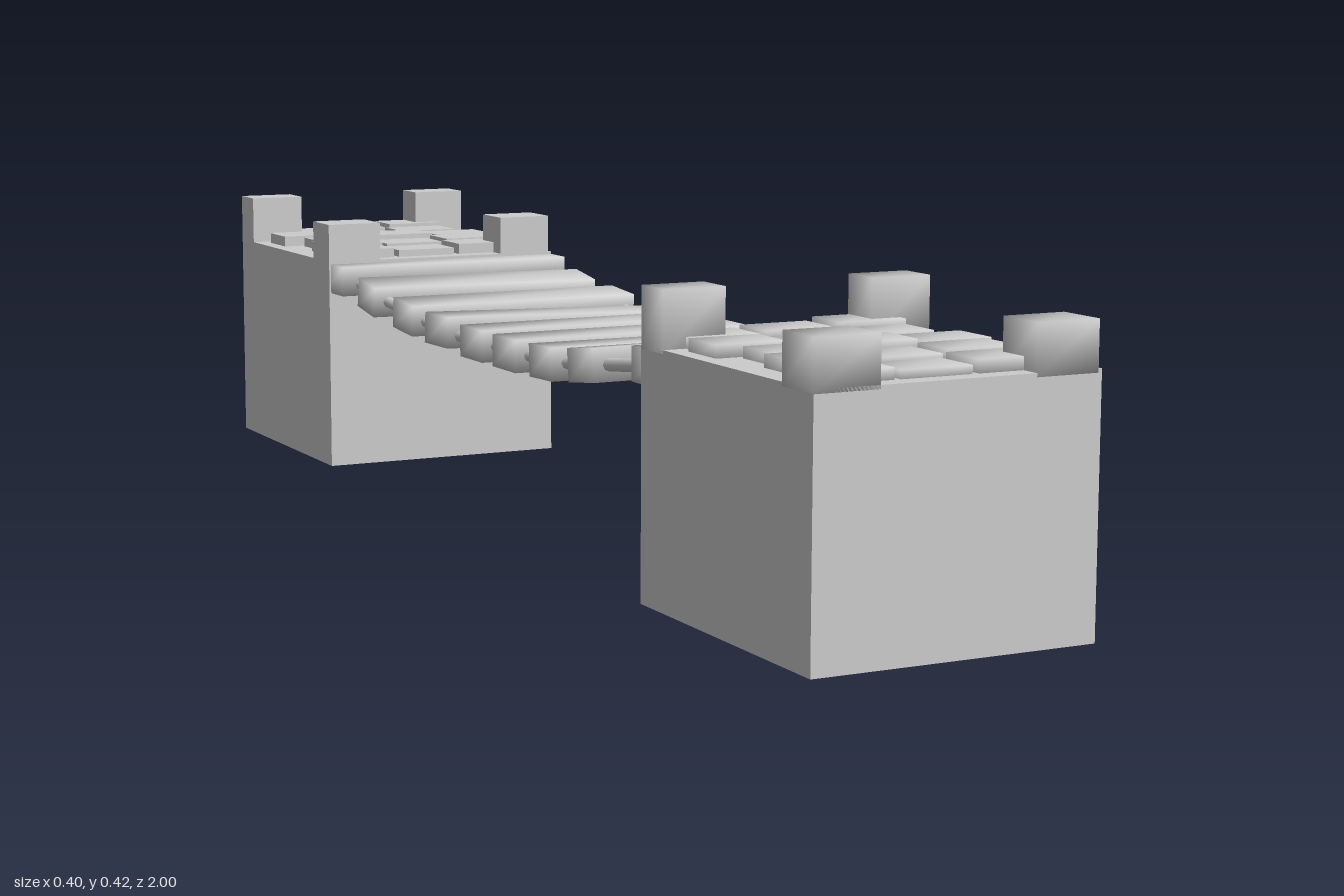
import * as THREE from 'three';
import { mergeVertices } from 'three/addons/utils/BufferGeometryUtils.js';

const material = new THREE.MeshStandardMaterial({ color: 0xcccccc });

// Box with shared corners, so its shading is soft and rounded
function softBox(w, h, d) {
  const g = new THREE.BoxGeometry(w, h, d);
  g.deleteAttribute('uv');
  g.deleteAttribute('normal');
  const merged = mergeVertices(g);
  merged.computeVertexNormals();
  return merged;
}

// Box given by its limits on each axis
function block(name, [x0, x1], [y0, y1], [z0, z1], soft) {
  const size = [x1 - x0, y1 - y0, z1 - z0];
  const mesh = new THREE.Mesh(soft ? softBox(...size) : new THREE.BoxGeometry(...size), material);
  mesh.position.set((x0 + x1) / 2, (y0 + y1) / 2, (z0 + z1) / 2);
  mesh.name = name;
  return mesh;
}

// Stone abutment: base, corner posts and staggered paving; z is measured from its rear edge
function createTower(name, z, soft) {
  const tower = new THREE.Group();
  tower.name = name;
  tower.position.z = z;
  tower.add(block('base', [-0.203, 0.199], [0, 0.34], [0, 0.435], false));

  for (const [x0, x1] of [[-0.203, -0.113], [0.105, 0.194]]) {
    tower.add(block('rearPost', [x0, x1], [0.335, 0.417], [0, 0.06], soft));
    tower.add(block('frontPost', [x0, x1], [0.335, 0.401], [0.362, 0.435], soft));
  }

  // Paving rows: left edge of the row, then the top height of its three stones
  const rows = [
    [-0.17, 0.355, 0.358, 0.363],
    [-0.18, 0.357, 0.353, 0.358],
    [-0.148, 0.355, 0.361, 0.357],
    [-0.165, 0.357, 0.354, 0.358],
    [-0.177, 0.355, 0.351, 0.357],
  ];
  rows.forEach(([x, ...tops], r) => {
    const z0 = 0.003 + r * 0.083;
    tops.forEach((top, i) => {
      const x0 = x + i * 0.109;
      tower.add(block('pavingStone', [x0, x0 + 0.1], [0.332, top], [z0, z0 + 0.072], soft));
    });
  });
  return tower;
}

export function createModel() {
  const model = new THREE.Group();
  model.name = 'ropeBridge';
  model.add(createTower('frontTower', 0.566, true));
  model.add(createTower('rearTower', -1, false));

  // Planks: z, y, pitch, yaw, roll
  const planks = [
    [0.572, 0.311, 0, 0, 0],
    [0.36, 0.286, -0.12, 0.01, 0],
    [0.238, 0.274, -0.04, -0.035, 0],
    [0.108, 0.271, 0, 0, 0],
    [-0.01, 0.271, 0, 0, 0],
    [-0.15, 0.27, 0, 0.04, -0.03],
    [-0.276, 0.281, 0.08, 0, 0],
    [-0.423, 0.294, 0.12, -0.045, 0],
    [-0.552, 0.312, 0, 0, 0],
  ];
  planks.forEach(([z, y, pitch, yaw, roll], i) => {
    const end = i === 0 || i === planks.length - 1;
    const plank = new THREE.Mesh(softBox(end ? 0.4 : 0.382, 0.047, 0.08), material);
    plank.position.set(0, y, z);
    plank.rotation.set(pitch, yaw, roll);
    plank.name = 'plank';
    model.add(plank);
  });

  // Sagging ropes running through the planks
  for (const [name, x] of [['rightRope', -0.168], ['leftRope', 0.177]]) {
    const path = new THREE.CatmullRomCurve3(planks.map(([z, y]) => new THREE.Vector3(x, y, z)));
    const rope = new THREE.Mesh(new THREE.TubeGeometry(path, 40, 0.009, 8), material);
    rope.name = name;
    model.add(rope);
  }
  return model;
}
